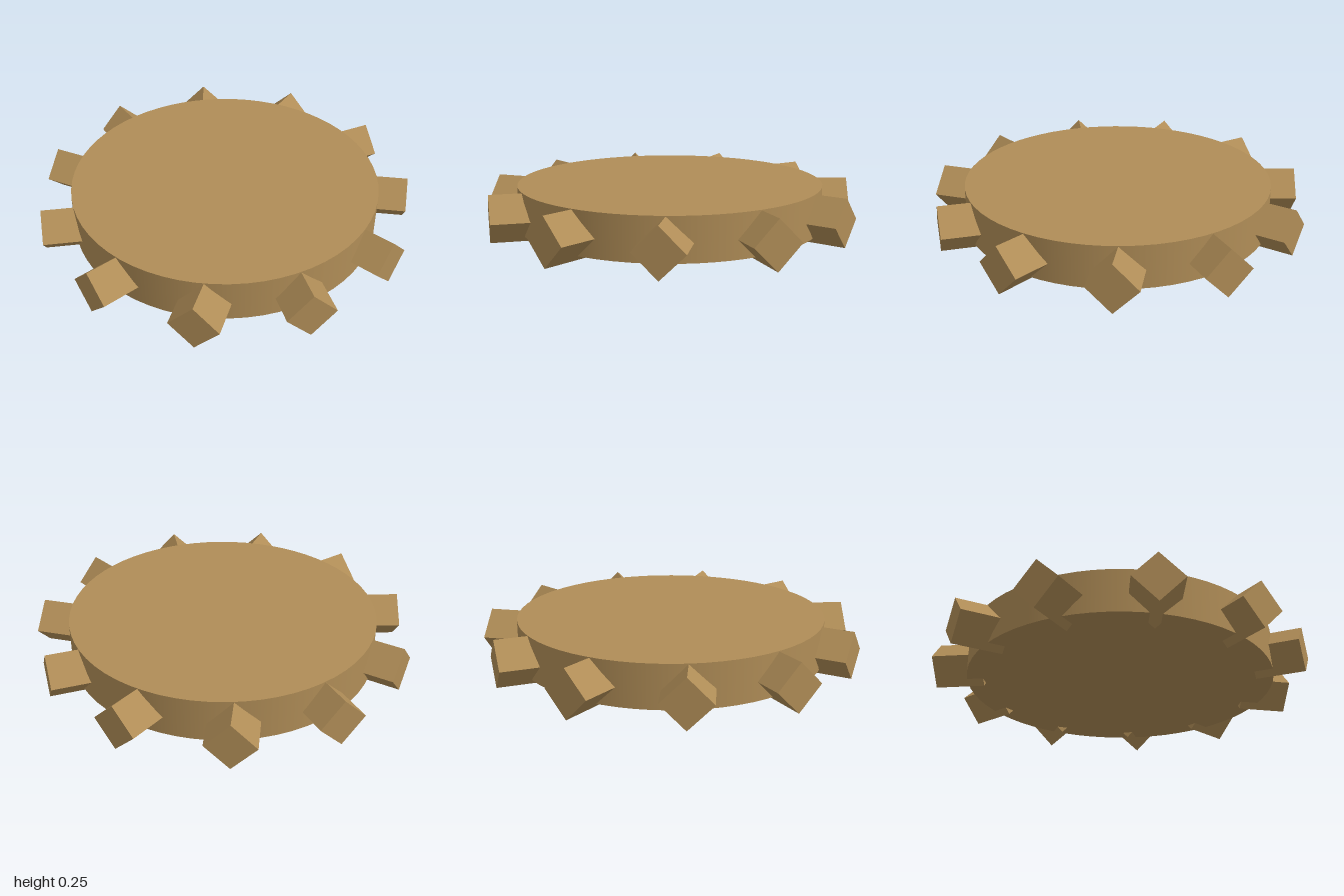
import * as THREE from 'three';

export function createModel() {
  const model = new THREE.Group();
  model.name = 'gear';
  const bronze = new THREE.MeshStandardMaterial({ color: 0xb08d57 });
  bronze.name = 'bronze';

  const centreX = -0.01, centreZ = -0.015;

  // Gear disc
  const disc = new THREE.Mesh(new THREE.CylinderGeometry(0.82, 0.82, 0.225, 64), bronze);
  disc.name = 'disc';
  disc.position.set(centreX, 0.1425, centreZ);
  model.add(disc);

  // Teeth: square bars standing on edge, each skewed slightly from the radius
  const count = 11, side = 0.178, length = 0.26, tipRadius = 0.985;
  const skew = THREE.MathUtils.degToRad(7.7);
  const start = THREE.MathUtils.degToRad(2.8);
  const toothGeometry = new THREE.BoxGeometry(length, side, side);
  toothGeometry.rotateX(Math.PI / 4);
  toothGeometry.translate(-length / 2, 0, 0); // origin at the outer end

  const teeth = new THREE.Group();
  teeth.name = 'teeth';
  for (let i = 0; i < count; i++) {
    const angle = start + (i / count) * Math.PI * 2;
    const tooth = new THREE.Mesh(toothGeometry, bronze);
    tooth.name = `tooth${i + 1}`;
    tooth.position.set(
      centreX + tipRadius * Math.cos(angle),
      0.126,
      centreZ + tipRadius * Math.sin(angle)
    );
    tooth.rotation.y = -(angle + skew);
    teeth.add(tooth);
  }
  model.add(teeth);
  return model;
}
